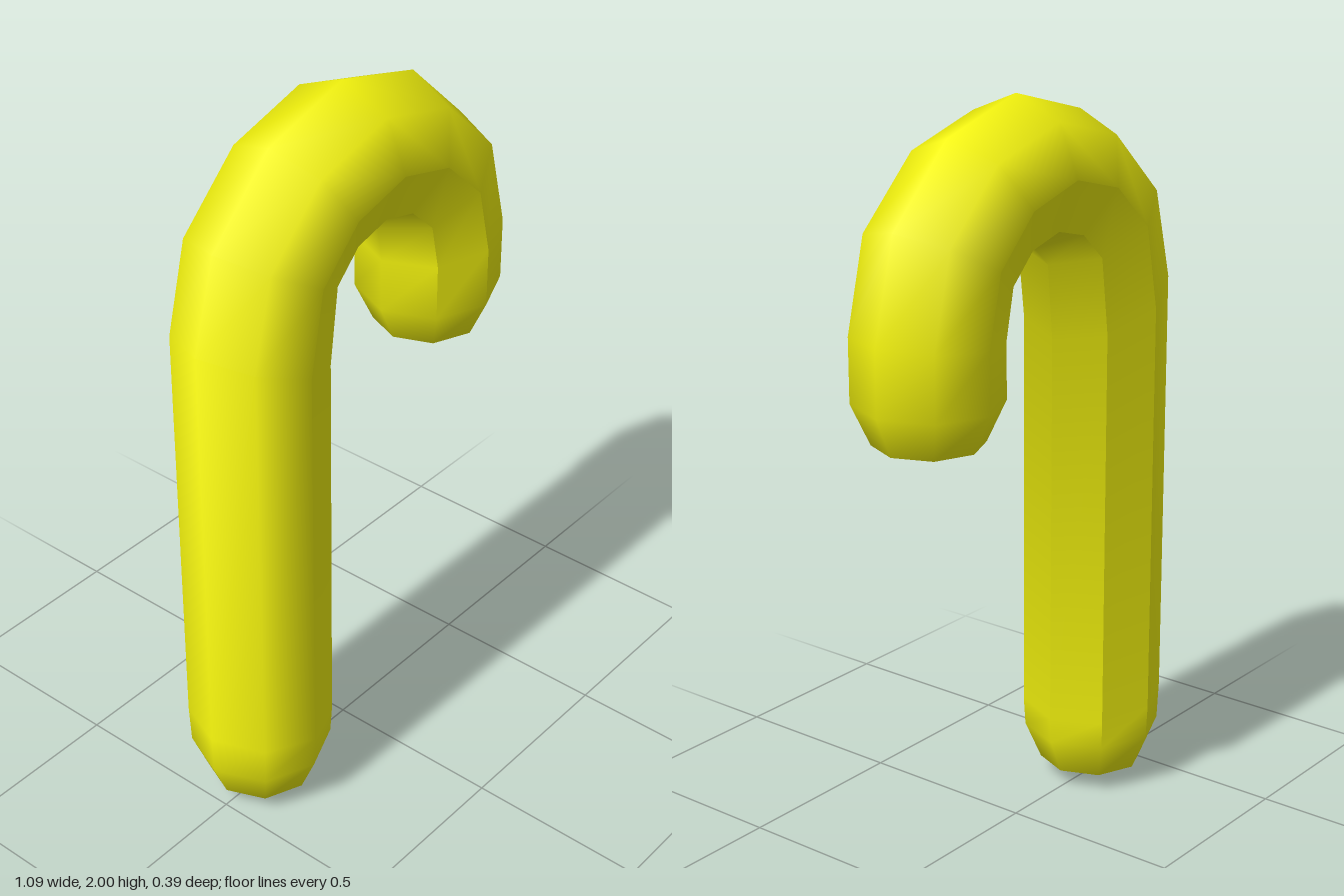
import * as THREE from 'three';

const SIDES = 8;
const RADIUS = 0.195;

// Cross-sections along the cane: outer x, y, inner x, y, creased inner side, normal tilt along the path
const SECTIONS = [
  [-0.495, 0.05, -0.205, 0.05, false, -0.7],
  [-0.54, 0.155, -0.16, 0.155, false, -0.25],
  [-0.545, 0.27, -0.155, 0.23, true, 0],
  [-0.545, 1.48, -0.155, 1.33, true, 0],
  [-0.475, 1.73, -0.135, 1.535, true, 0],
  [-0.27, 1.925, -0.077, 1.59, true, 0],
  [0, 2, 0, 1.61, true, 0],
  [0.27, 1.925, 0.077, 1.59, true, 0],
  [0.475, 1.73, 0.135, 1.535, true, 0],
  [0.545, 1.46, 0.155, 1.43, true, 0],
  [0.545, 1.285, 0.155, 1.28, false, 0.25],
  [0.495, 1.175, 0.205, 1.175, false, 0.7],
].map(([ox, oy, ix, iy, creased, tilt]) => {
  const outer = new THREE.Vector3(ox, oy, 0);
  const inner = new THREE.Vector3(ix, iy, 0);
  const half = outer.clone().sub(inner).multiplyScalar(0.5);
  const out = half.clone().normalize();
  const along = out.clone().cross(new THREE.Vector3(0, 0, 1));
  return { center: outer.add(inner).multiplyScalar(0.5), half, out, along, creased, tilt };
});

const angleOf = (j) => (j / SIDES) * Math.PI * 2;

function ringPoint(s, j) {
  const a = angleOf(j);
  const p = s.center.clone().addScaledVector(s.half, Math.cos(a));
  p.z = Math.min(RADIUS, s.half.length()) * Math.sin(a);
  return p;
}

function ringNormal(s, j, tilt = s.tilt) {
  const a = angleOf(j);
  const n = s.out.clone().multiplyScalar(Math.cos(a));
  n.z = Math.sin(a);
  return n.addScaledVector(s.along, tilt).normalize();
}

// Collects [point, normal] corners into a geometry
function geometryFrom(corners) {
  const geo = new THREE.BufferGeometry();
  const flat = (k) => new THREE.Float32BufferAttribute(corners.flatMap((c) => c[k].toArray()), 3);
  geo.setAttribute('position', flat(0));
  geo.setAttribute('normal', flat(1));
  return geo;
}

// Eight-sided swept tube: smooth outside, hard lengthwise edges inside the bend
function caneBody() {
  const corners = [];
  for (let i = 0; i < SECTIONS.length - 1; i++) {
    for (let j = 0; j < SIDES; j++) {
      const innerFace = j >= 2 && j < 6;
      const corner = (s, k) => [ringPoint(s, k), ringNormal(s, s.creased && innerFace ? j + 0.5 : k)];
      const a = corner(SECTIONS[i], j);
      const b = corner(SECTIONS[i], j + 1);
      const c = corner(SECTIONS[i + 1], j + 1);
      const d = corner(SECTIONS[i + 1], j);
      corners.push(a, b, c, a, c, d);
    }
  }
  return geometryFrom(corners);
}

// Shallow pointed cap closing one end; dir is -1 at the foot, 1 at the hook end
function endCap(s, dir, height) {
  const corners = [];
  const axis = s.along.clone().multiplyScalar(dir);
  const apex = s.center.clone().addScaledVector(axis, height);
  for (let j = 0; j < SIDES; j++) {
    const a = [ringPoint(s, j), ringNormal(s, j, dir * 3)];
    const b = [ringPoint(s, j + 1), ringNormal(s, j + 1, dir * 3)];
    corners.push([apex, axis], ...(dir > 0 ? [a, b] : [b, a]));
  }
  return geometryFrom(corners);
}

export function createModel() {
  const group = new THREE.Group();
  group.name = 'cane';
  const material = new THREE.MeshStandardMaterial({ color: 0xf2f20d });
  const add = (name, geo) => {
    const mesh = new THREE.Mesh(geo, material);
    mesh.name = name;
    group.add(mesh);
  };

  add('caneBody', caneBody());
  add('footCap', endCap(SECTIONS[0], -1, 0.05));
  add('hookCap', endCap(SECTIONS[SECTIONS.length - 1], 1, 0.045));
  return group;
}
